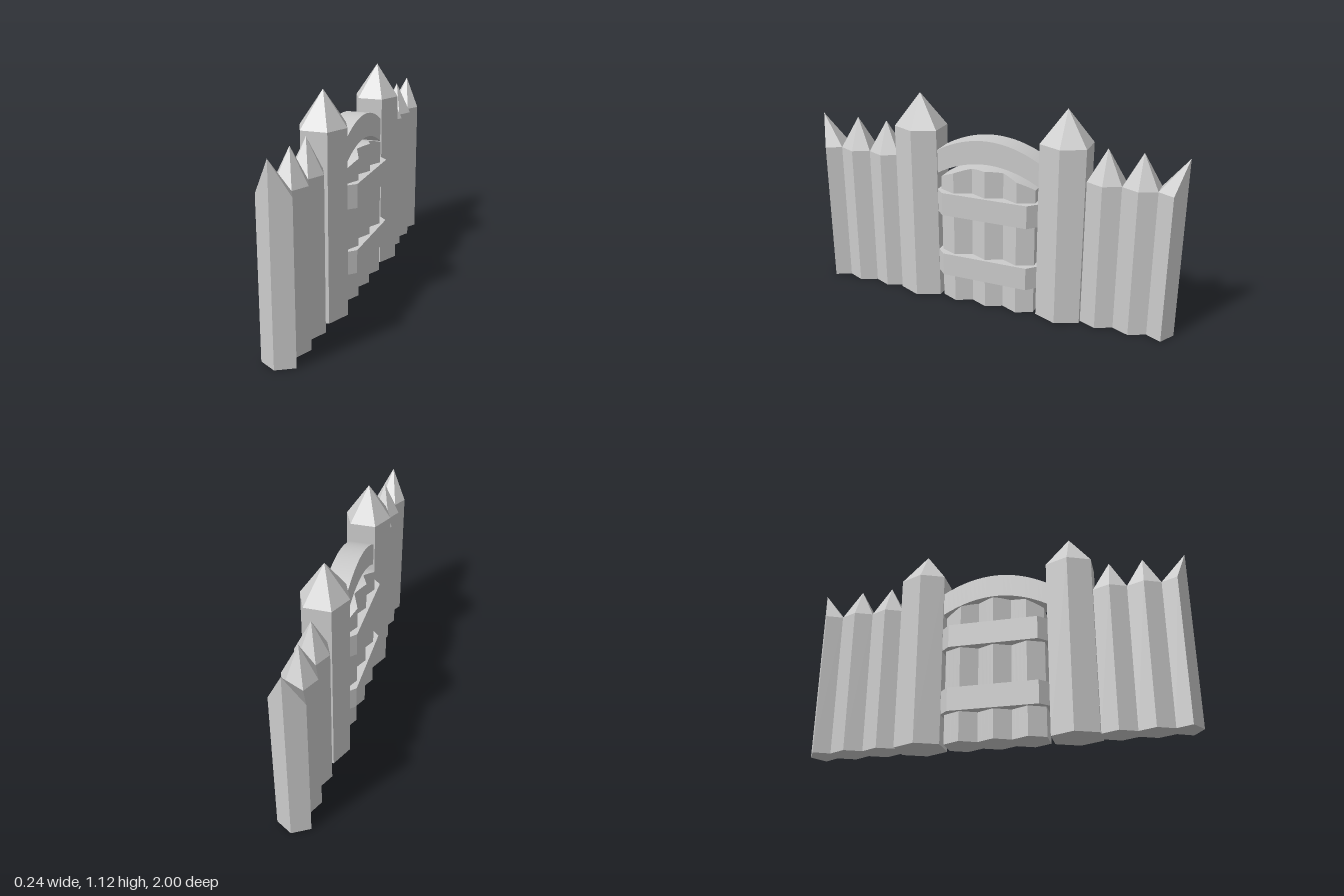
import * as THREE from 'three';
import { toCreasedNormals } from 'three/addons/utils/BufferGeometryUtils.js';

const material = new THREE.MeshStandardMaterial({ color: 0xcccccc });

function makeMesh(name, positions) {
  const geometry = new THREE.BufferGeometry();
  geometry.setAttribute('position', new THREE.Float32BufferAttribute(positions, 3));
  const mesh = new THREE.Mesh(toCreasedNormals(geometry, 0.3), material);
  mesh.name = name;
  return mesh;
}

// Upright prism over an [x, z] outline (counterclockwise from above) with a pointed tip
function stake(name, outline, height, tip) {
  const p = [];
  outline.forEach((a, i) => {
    const b = outline[(i + 1) % outline.length];
    const a0 = [a[0], 0, a[1]], b0 = [b[0], 0, b[1]];
    const a1 = [a[0], height, a[1]], b1 = [b[0], height, b[1]];
    p.push(...a0, ...b0, ...b1, ...a0, ...b1, ...a1);
    p.push(...a1, ...b1, ...tip);
    p.push(tip[0], 0, outline[0][1] * 0.5 + outline[3][1] * 0.5, ...b0, ...a0);
  });
  return makeMesh(name, p);
}

// Six-sided outline with ridges on +x and -x and flats towards +z and -z
const hexagon = (z, ridge, flat, half) => [
  [-flat, z + half], [flat, z + half], [ridge, z],
  [flat, z - half], [-flat, z - half], [-ridge, z],
];

// Solid through rectangles { z, w, y0, y1 } ordered along +z
function loft(name, sections) {
  const rings = sections.map(({ z, w, y0, y1 }) =>
    [[-w, y0, z], [w, y0, z], [w, y1, z], [-w, y1, z]]);
  const p = [];
  const quad = (a, b, c, d) => p.push(...a, ...b, ...c, ...a, ...c, ...d);
  for (let k = 0; k < rings.length - 1; k++) {
    for (let i = 0; i < 4; i++) {
      const j = (i + 1) % 4;
      quad(rings[k][i], rings[k][j], rings[k + 1][j], rings[k + 1][i]);
    }
  }
  const [b0, b1, b2, b3] = rings[0];
  quad(b3, b2, b1, b0);
  quad(...rings[rings.length - 1]);
  return makeMesh(name, p);
}

// Evenly spaced sections from z = -half to z = half
const sweep = (half, count, section) => Array.from({ length: count + 1 }, (_, i) => {
  const t = (2 * i) / count - 1;
  return { z: t * half, ...section(t) };
});

// Gate post, two stakes and the pointed end stake
function wallSide(name) {
  const side = new THREE.Group();
  side.name = name;
  side.add(stake('gatePost', hexagon(0.4, 0.12, 0.067, 0.12), 0.95, [0, 1.125, 0.4]));
  for (const z of [0.6075, 0.7825]) {
    side.add(stake('wallStake', hexagon(z, 0.085, 0.045, 0.0875), 0.78, [0, 0.95, z]));
  }
  const endOutline = [[0, 1], [0.085, 0.95], [0.045, 0.87], [-0.045, 0.87], [-0.085, 0.95]];
  side.add(stake('endStake', endOutline, 0.78, [0, 0.95, 1]));
  return side;
}

export function createModel() {
  const model = new THREE.Group();
  model.name = 'palisadeGate';

  // Wall on both sides of the gate
  const frontWall = wallSide('frontWall');
  const backWall = wallSide('backWall');
  backWall.rotation.y = Math.PI;
  model.add(frontWall, backWall);

  // Arched beam over the gate
  model.add(loft('archBeam', sweep(0.28, 24, (t) => ({
    w: 0.06, y0: 0.8 - 0.08 * t * t, y1: 0.925 - 0.08 * t * t,
  }))));

  // Three ridged planks under a curved top
  model.add(loft('gatePlanks', sweep(0.262, 24, (t) => {
    const fromRidge = Math.abs(((t * 3 + 3) % 2) - 1);
    return { w: 0.095 - 0.04 * fromRidge, y0: 0, y1: 0.775 - 0.075 * t * t };
  })));

  // Crossbars with chamfered ends
  for (const y of [0.155, 0.505]) {
    model.add(loft('crossbar', [[-0.28, 0.065], [-0.235, 0.11], [0.235, 0.11], [0.28, 0.065]]
      .map(([z, w]) => ({ z, w, y0: y, y1: y + 0.125 }))));
  }
  return model;
}
